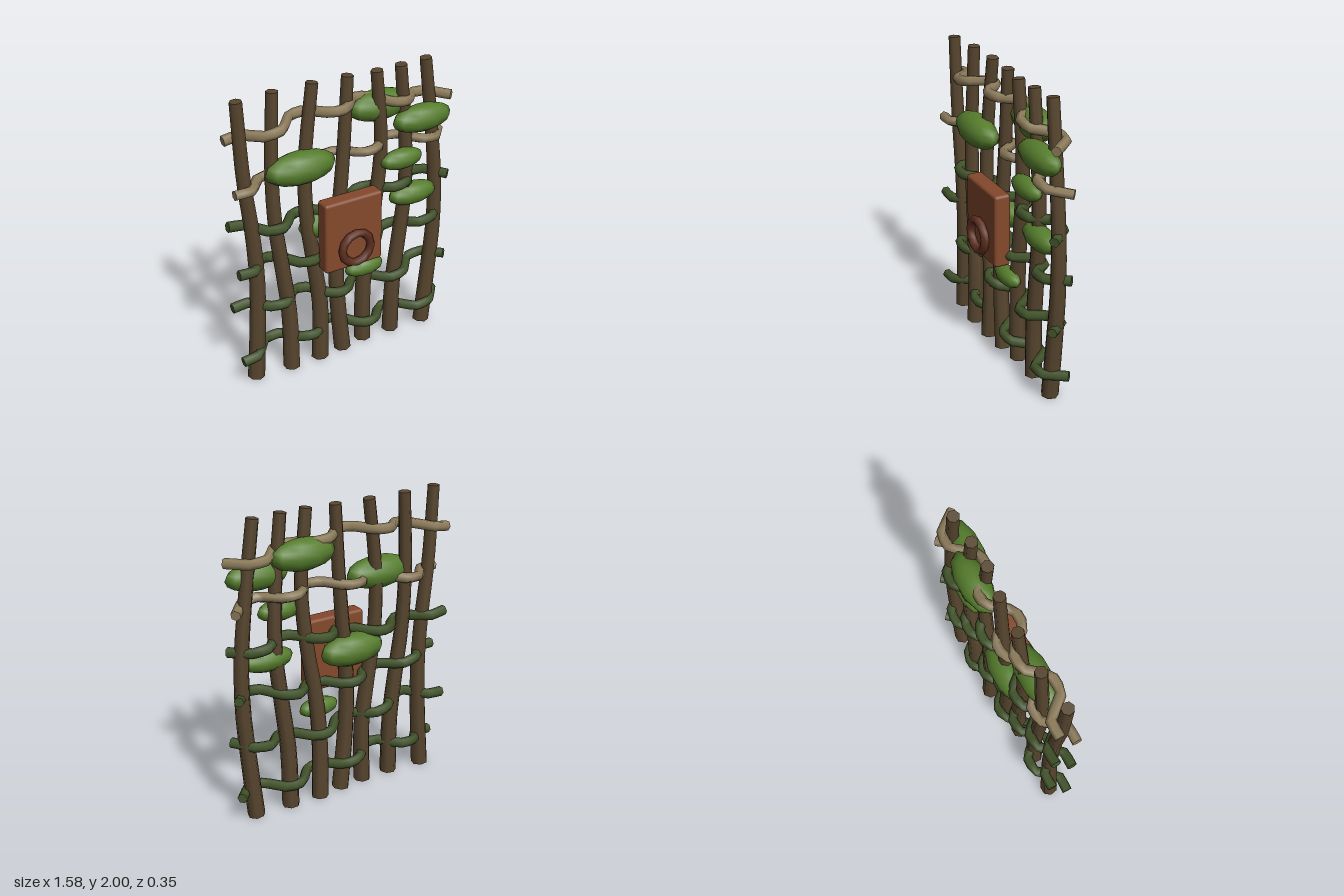
import * as THREE from 'three';
import { mergeGeometries } from 'three/addons/utils/BufferGeometryUtils.js';
import { RoundedBoxGeometry } from 'three/addons/geometries/RoundedBoxGeometry.js';

const mat = (name, color) => {
  const m = new THREE.MeshStandardMaterial({ color });
  m.name = name;
  return m;
};

// Tapered round rod along a path, closed with flat caps
function rod(points, r0, r1, sides, segs, tension) {
  const curve = new THREE.CatmullRomCurve3(points, false, 'catmullrom', tension);
  const tube = new THREE.TubeGeometry(curve, segs, 1, sides);
  const pos = tube.attributes.position;
  const v = new THREE.Vector3();
  const ring = sides + 1;
  for (let i = 0; i <= segs; i++) {
    const t = i / segs;
    const c = curve.getPointAt(t);
    for (let j = 0; j < ring; j++) {
      const k = i * ring + j;
      v.fromBufferAttribute(pos, k).sub(c).multiplyScalar(r0 + (r1 - r0) * t).add(c);
      pos.setXYZ(k, v.x, v.y, v.z);
    }
  }
  const cap = (t, start, flip) => {
    const g = new THREE.CircleGeometry(1, sides);
    const c = curve.getPointAt(t);
    const n = curve.getTangentAt(t).multiplyScalar(flip ? -1 : 1);
    g.attributes.position.setXYZ(0, c.x, c.y, c.z);
    g.attributes.normal.setXYZ(0, n.x, n.y, n.z);
    for (let j = 0; j < ring; j++) {
      v.fromBufferAttribute(pos, start + j);
      g.attributes.position.setXYZ(j + 1, v.x, v.y, v.z);
      g.attributes.normal.setXYZ(j + 1, n.x, n.y, n.z);
    }
    // make the fan wind outwards
    const p = (i) => new THREE.Vector3().fromBufferAttribute(g.attributes.position, i).sub(c);
    if (p(1).cross(p(2)).dot(n) < 0) {
      const idx = Array.from(g.index.array);
      for (let i = 0; i < idx.length; i += 3) [idx[i], idx[i + 1]] = [idx[i + 1], idx[i]];
      g.setIndex(idx);
    }
    return g;
  };
  return mergeGeometries([tube, cap(0, 0, true), cap(1, segs * ring, false)]);
}

// Linear lookup of y over rising x
function heightAt(xs, ys, x) {
  let i = 1;
  while (i < xs.length - 1 && x > xs[i]) i++;
  return THREE.MathUtils.mapLinear(x, xs[i - 1], xs[i], ys[i - 1], ys[i]);
}

const MID = -0.036; // depth of the fence's middle plane

// Stakes: x at each of these heights, and depth at the top
const HEIGHTS = [0.01, 0.4, 0.75, 1.1, 1.5, 1.995];
const STAKES = [
  { x: [-0.67, -0.645, -0.635, -0.655, -0.7, -0.725], z: -0.03 },
  { x: [-0.415, -0.415, -0.45, -0.49, -0.5, -0.475], z: -0.055 },
  { x: [-0.2, -0.188, -0.225, -0.27, -0.27, -0.208], z: -0.055 },
  { x: [-0.015, -0.05, -0.06, -0.035, 0.0, 0.03], z: -0.04 },
  { x: [0.165, 0.16, 0.185, 0.24, 0.27, 0.225], z: -0.012 },
  { x: [0.385, 0.392, 0.43, 0.465, 0.455, 0.405], z: -0.02 },
  { x: [0.635, 0.675, 0.705, 0.705, 0.665, 0.6], z: -0.035 },
];

// Rails: height along x, left end to right end
const RAIL_X = [-0.79, -0.57, -0.33, -0.08, 0.17, 0.4, 0.57, 0.785];
const RAILS = [
  { y: [0.205, 0.232, 0.246, 0.22, 0.188, 0.177, 0.182, 0.2], dry: false },
  { y: [0.547, 0.563, 0.545, 0.505, 0.484, 0.492, 0.523, 0.545], dry: false },
  { y: [0.865, 0.855, 0.815, 0.8, 0.805, 0.83, 0.86, 0.876], dry: false },
  { y: [1.147, 1.115, 1.11, 1.13, 1.165, 1.182, 1.182, 1.157], dry: false },
  { y: [1.425, 1.425, 1.45, 1.474, 1.49, 1.485, 1.472, 1.437], dry: true },
  { y: [1.73, 1.758, 1.795, 1.812, 1.805, 1.765, 1.742, 1.728], dry: true },
];
const RAIL_STEPS = 14; // two per stake

// Leaf clumps: centre, then radii
const LEAVES = [
  [-0.325, 1.48, 0.0, 0.245, 0.108, 0.105],
  [0.285, 1.73, -0.08, 0.225, 0.102, 0.1],
  [0.55, 1.617, 0.018, 0.22, 0.092, 0.088],
  [0.4, 1.363, 0.02, 0.158, 0.07, 0.066],
  [0.515, 1.07, -0.015, 0.183, 0.078, 0.078],
  [0.13, 0.632, 0.008, 0.145, 0.064, 0.062],
  [-0.085, 1.015, -0.06, 0.235, 0.108, 0.1],
];

export function createModel() {
  const bark = mat('dark bark', 0x58462f);
  const dryTwig = mat('dry twig', 0x8e7d5c);
  const greenTwig = mat('green twig', 0x42542b);
  const foliage = mat('foliage', 0x567d2d);
  const rust = mat('rust panel', 0x84492c);
  const darkRust = mat('dark rust', 0x5f2f20);

  const model = new THREE.Group();
  model.name = 'wovenFence';
  const add = (name, geometry, material) => {
    const mesh = new THREE.Mesh(geometry, material);
    mesh.name = name;
    model.add(mesh);
    return mesh;
  };

  // Upright stakes, thinner towards the top
  STAKES.forEach(({ x, z }, s) => {
    const pts = x.map((px, i) => {
      const t = i / (x.length - 1);
      const lean = (z - MID) * (2 * t - 1);
      return new THREE.Vector3(px, HEIGHTS[i], MID + lean);
    });
    add('stake' + (s + 1), rod(pts, 0.058, 0.04, 7, 14, 0.5), bark);
  });

  // Twigs woven in front of and behind alternate stakes in even steps
  RAILS.forEach(({ y, dry }, r) => {
    const pts = [];
    for (let k = 0; k <= RAIL_STEPS; k++) {
      const x = THREE.MathUtils.lerp(-0.79, 0.765, k / RAIL_STEPS);
      const front = (Math.floor(k / 2) + r) % 2 === 0;
      pts.push(new THREE.Vector3(x, heightAt(RAIL_X, y, x), MID + (front ? 0.064 : -0.064)));
    }
    add(dry ? 'dryRail' : 'greenRail', rod(pts, 0.034, 0.033, 6, 36, 0.15), dry ? dryTwig : greenTwig);
  });

  // Leaf clumps
  for (const [x, y, z, rx, ry, rz] of LEAVES) {
    const leaf = add('leafClump', new THREE.SphereGeometry(1, 10, 8), foliage);
    leaf.position.set(x, y, z);
    leaf.scale.set(rx, ry, rz);
  }

  // Hanging panel with a ring
  add('panel', new RoundedBoxGeometry(0.42, 0.496, 0.11, 2, 0.02), rust).position.set(-0.015, 0.987, 0.073);
  add('ring', new THREE.TorusGeometry(0.105, 0.029, 6, 12), darkRust).position.set(-0.013, 0.89, 0.149);

  return model;
}
